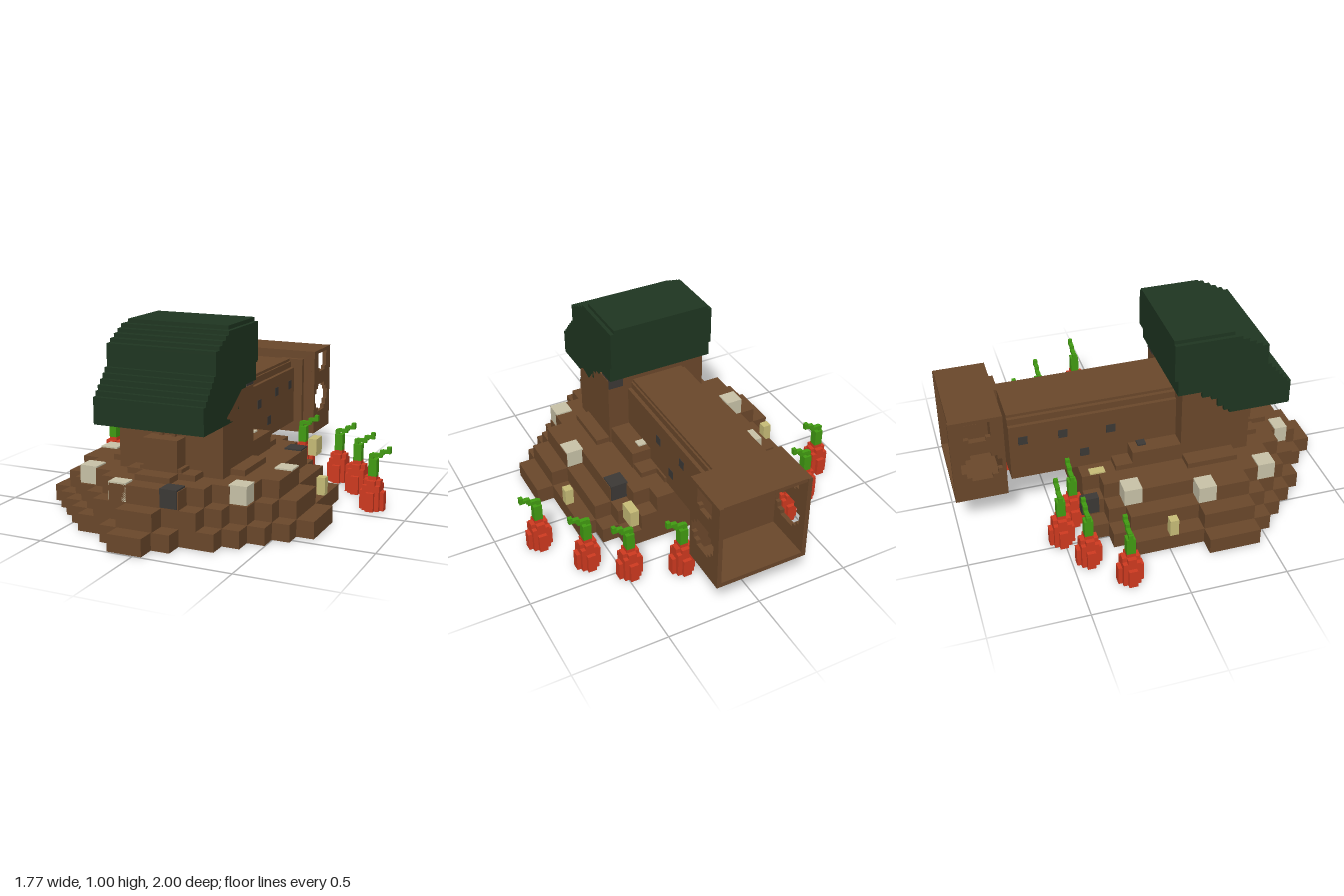
import * as THREE from 'three';

const mat = (name, color) => {
  const m = new THREE.MeshStandardMaterial({ color });
  m.name = name;
  return m;
};

export function createModel() {
  const model = new THREE.Group();
  model.name = 'moundHouse';
  const earth = mat('earth brown', 0x6b482b);
  const underside = mat('taupe', 0x8f725c);
  const leaf = mat('dark green', 0x1f3621);
  const red = mat('carrot red', 0xd03a20);
  const green = mat('stem green', 0x429c12);
  const cream = mat('cream stone', 0xc9c3a8);
  const straw = mat('straw yellow', 0xc8bd78);
  const coal = mat('charcoal', 0x3c3936);

  const add = (parent, name, geometry, material) => {
    const mesh = new THREE.Mesh(geometry, material);
    mesh.name = name;
    parent.add(mesh);
    return mesh;
  };
  // Box given by its lower and upper corners
  const box = (parent, name, m, x0, x1, y0, y1, z0, z1) => {
    const g = new THREE.BoxGeometry(x1 - x0, y1 - y0, z1 - z0);
    g.translate((x0 + x1) / 2, (y0 + y1) / 2, (z0 + z1) / 2);
    return add(parent, name, g, m);
  };
  const toShape = (pts) => new THREE.Shape(pts.map(([a, b]) => new THREE.Vector2(a, b)));
  // Plan outline (x, z) extruded upwards
  const slab = (name, m, pts, y0, y1) => {
    const g = new THREE.ExtrudeGeometry(toShape(pts.map(([x, z]) => [x, -z])), { depth: y1 - y0, bevelEnabled: false });
    g.rotateX(-Math.PI / 2).translate(0, y0, 0);
    return add(model, name, g, m);
  };
  // Side outline (z, y) extruded across x
  const across = (parent, name, m, shape, x0, x1) => {
    const g = new THREE.ExtrudeGeometry(shape, { depth: x1 - x0, bevelEnabled: false });
    g.rotateY(-Math.PI / 2).translate(x1, 0, 0);
    return add(parent, name, g, m);
  };

  // Stepped mound: rows of [z start, z end, half width], shrinking per tier
  const cx = -0.045;
  const rows = [
    [-0.36, -0.27, 0.455], [-0.27, -0.18, 0.545], [-0.18, 0.18, 0.635], [0.18, 0.45, 0.725],
    [0.45, 0.54, 0.635], [0.54, 0.63, 0.545], [0.63, 0.72, 0.455], [0.72, 0.81, 0.365],
    [0.81, 0.905, 0.185], [0.905, 1, 0.09],
  ];
  [[0, 0.003, 0.09], [1, 0.09, 0.18], [2, 0.18, 0.27], [4, 0.27, 0.3]].forEach(([k, y0, y1]) => {
    const right = [], left = [];
    rows.forEach(([z0, z1, h]) => {
      const half = h - 0.09 * k;
      if (half < 0.05) return;
      right.push([cx + half, z0], [cx + half, z1]);
      left.push([cx - half, z0], [cx - half, z1]);
    });
    slab('moundTier', earth, [...right, ...left.reverse()], y0, y1);
  });
  slab('moundUnderside', underside, [
    [-0.42, -0.08], [0.33, -0.08], [0.38, -0.03], [0.38, 0.57],
    [0.33, 0.62], [-0.42, 0.62], [-0.47, 0.57], [-0.47, -0.03]], 0, 0.006);

  // Tower with a raised porch and low rear shoulders
  across(model, 'tower', earth, toShape([
    [0.17, 0.25], [0.54, 0.25], [0.54, 0.54], [0.43, 0.6], [0.32, 0.67], [0.17, 0.67]]), -0.32, 0.245);
  box(model, 'porch', earth, -0.14, 0.045, 0.25, 0.46, 0.5, 0.63);
  box(model, 'porchStep', earth, -0.16, 0.065, 0.25, 0.32, 0.5, 0.625);
  for (const x of [-0.09, -0.02]) box(model, 'porchPeg', earth, x, x + 0.02, 0.45, 0.475, 0.54, 0.56);
  box(model, 'shoulder', earth, -0.32, 0.235, 0.25, 0.365, -0.09, 0.27);
  box(model, 'towerStone', coal, 0.16, 0.242, 0.62, 0.69, 0.165, 0.25);

  // Roof: overhanging hood with a finely stepped front
  const roofPts = [
    [0.75, 0.53], [0.42, 0.53], [0.42, 0.55], [0.39, 0.55], [0.39, 0.58], [0.355, 0.58], [0.355, 0.63],
    [0.32, 0.63], [0.32, 0.65], [0.27, 0.65], [0.27, 0.685], [0.14, 0.685], [0.14, 0.775], [0.12, 0.775],
    [0.12, 0.98], [0.435, 0.98]];
  const steps = (z0, y0, z1, y1, n) => {
    for (let i = 0; i < n; i++) {
      const z = z0 + ((z1 - z0) * (i + 1)) / n;
      roofPts.push([z, y0 + ((y1 - y0) * i) / n], [z, y0 + ((y1 - y0) * (i + 1)) / n]);
    }
  };
  steps(0.435, 0.98, 0.615, 0.885, 5);
  roofPts.push([0.615, 0.79]);
  steps(0.615, 0.79, 0.75, 0.64, 6);
  across(model, 'roof', leaf, toShape(roofPts), -0.34, 0.245);
  box(model, 'roofCap', leaf, -0.32, 0.225, 0.97, 1, 0.12, 0.435);

  // Long rear tunnel with small openings on both sides
  box(model, 'tunnel', earth, -0.23, 0.13, 0.27, 0.59, -0.705, 0.3);
  box(model, 'tunnelShoulder', earth, -0.21, 0.11, 0.58, 0.625, -0.705, 0.3);
  box(model, 'tunnelTop', earth, -0.19, 0.1, 0.62, 0.64, -0.705, 0.3);
  for (const [z, y] of [[-0.18, 0.48], [-0.43, 0.5], [-0.635, 0.5], [-0.32, 0.36]]) {
    for (const x of [-0.232, 0.128]) {
      box(model, 'tunnelOpening', coal, x, x + 0.004, y - 0.024, y + 0.024, z - 0.024, z + 0.024);
    }
  }
  box(model, 'tunnelJoint', earth, 0.045, 0.18, 0.25, 0.64, -0.735, -0.7);

  // Open-backed end box with pierced side walls
  const endBox = new THREE.Group();
  endBox.name = 'endBox';
  model.add(endBox);
  const wall = toShape([[-1, 0.2], [-0.73, 0.2], [-0.73, 0.685], [-1, 0.685]]);
  wall.holes.push(
    new THREE.Path([[-0.93, 0.575], [-0.93, 0.665], [-0.795, 0.665], [-0.795, 0.575],
      [-0.82, 0.575], [-0.82, 0.555], [-0.905, 0.555], [-0.905, 0.575]].map(([a, b]) => new THREE.Vector2(a, b))),
    new THREE.Path([[-0.955, 0.37], [-0.955, 0.43], [-0.93, 0.43], [-0.93, 0.455], [-0.905, 0.455], [-0.905, 0.48],
      [-0.8, 0.48], [-0.8, 0.455], [-0.77, 0.455], [-0.77, 0.43], [-0.748, 0.43], [-0.748, 0.37],
      [-0.77, 0.37], [-0.77, 0.34], [-0.8, 0.34], [-0.8, 0.318], [-0.905, 0.318], [-0.905, 0.34],
      [-0.93, 0.34], [-0.93, 0.37]].map(([a, b]) => new THREE.Vector2(a, b))));
  for (const x of [-0.25, 0.222]) across(endBox, 'sideWall', earth, wall, x, x + 0.023);
  box(endBox, 'floor', earth, -0.23, 0.225, 0.2, 0.225, -1, -0.73);
  box(endBox, 'ceiling', earth, -0.23, 0.225, 0.665, 0.685, -0.995, -0.73);
  box(endBox, 'frontWall', earth, -0.23, 0.225, 0.2, 0.685, -0.746, -0.73);

  // Stones set into the mound: [x, z, y, width, depth]
  const stones = (name, m, list) => list.forEach(([x, z, y, w, d]) =>
    box(model, name, m, x - w / 2, x + w / 2, y, y + 0.093, z - d / 2, z + d / 2));
  stones('creamStone', cream, [
    [-0.455, -0.14, 0.185, 0.094, 0.094], [-0.545, 0.225, 0.185, 0.094, 0.094],
    [-0.455, 0.58, 0.185, 0.094, 0.094], [-0.185, 0.775, 0.185, 0.094, 0.07],
    [0.36, 0.58, 0.185, 0.094, 0.094], [0.45, 0.225, 0.185, 0.094, 0.094], [0.155, -0.025, 0.28, 0.045, 0.045]]);
  stones('charcoalStone', coal, [
    [0.36, -0.14, 0.185, 0.094, 0.094], [0.09, 0.77, 0.185, 0.09, 0.09],
    [-0.48, -0.365, 0.18, 0.045, 0.09], [-0.25, -0.025, 0.28, 0.045, 0.045]]);
  stones('strawStone', straw, [
    [-0.295, -0.275, 0.185, 0.045, 0.08], [0.385, -0.37, 0.185, 0.048, 0.09],
    [-0.66, 0.02, 0.09, 0.045, 0.045], [0.567, 0.02, 0.09, 0.045, 0.045]]);

  // Carrots: stepped round bodies with a stem curling towards +x
  const layers = [
    [0.065, 0.022, 0, 0.1], [0.022, 0.065, 0, 0.1], [0.045, 0.045, 0, 0.135],
    [0.045, 0.022, 0.1, 0.16], [0.022, 0.045, 0.1, 0.16], [0.022, 0.022, 0.1, 0.18]];
  const stems = [
    [-0.022, 0.022, 0.18, 0.27, 0.022], [-0.022, 0.0, 0.27, 0.295, 0.011], [-0.011, 0.045, 0.28, 0.3, 0.011],
    [0.033, 0.055, 0.295, 0.32, 0.011], [0.045, 0.09, 0.305, 0.322, 0.011], [0.07, 0.09, 0.315, 0.34, 0.011]];
  const spots = [
    [-0.82, -0.255], [-0.64, -0.415], [-0.46, -0.51], [-0.32, -0.415],
    [0.225, -0.62], [0.475, -0.53], [0.635, -0.37], [0.795, -0.12]];
  spots.forEach(([x, z]) => {
    const carrot = new THREE.Group();
    carrot.name = 'carrot';
    carrot.position.set(x, 0, z);
    layers.forEach(([w, d, y0, y1]) => box(carrot, 'carrotBody', red, -w, w, y0, y1, -d, d));
    stems.forEach(([x0, x1, y0, y1, d]) => box(carrot, 'carrotStem', green, x0, x1, y0, y1, -d, d));
    model.add(carrot);
  });
  return model;
}
